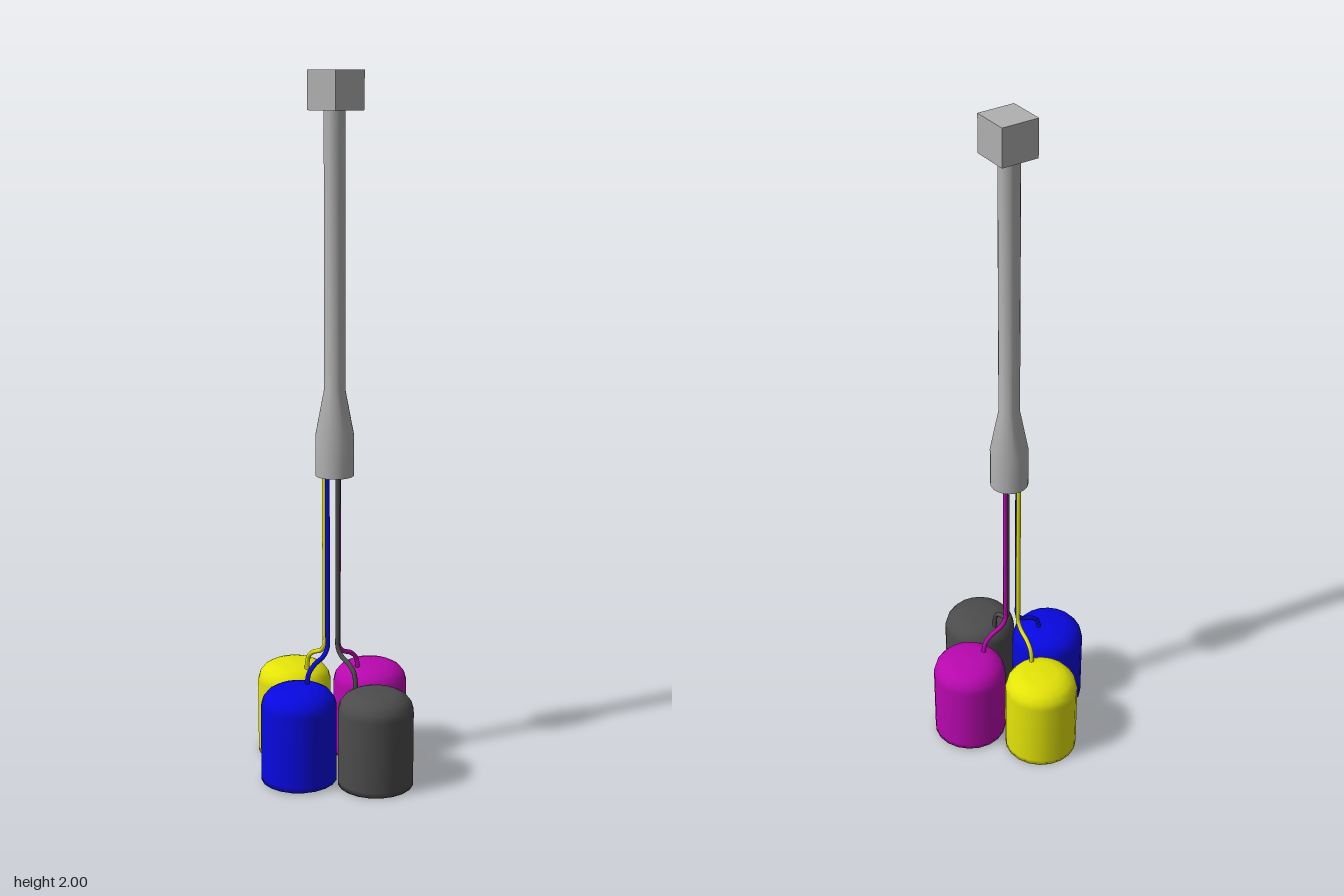
import * as THREE from 'three';
import { toCreasedNormals } from 'three/addons/utils/BufferGeometryUtils.js';

const material = (color) => new THREE.MeshStandardMaterial({ color, side: THREE.DoubleSide });

// Surface of revolution from [radius, y] pairs, listed from bottom to top
function lathe(points) {
  return new THREE.LatheGeometry(points.map(([r, y]) => new THREE.Vector2(r, y)), 20);
}

// Domed weight with a flat base, shaded smoothly around its lower rim
const WEIGHT_PROFILE = [
  [0, 0], [0.109, 0], [0.109, 0.015], [0.109, 0.222], [0.103, 0.243],
  [0.09, 0.26], [0.07, 0.271], [0.047, 0.277], [0, 0.279],
];

// Each weight hangs on its own cord: base centre, cord top and cord end as [x, z]
const WEIGHTS = [
  { name: 'left', color: 0xb808ae, at: [0.144, 0.001], base: 0.006, top: [0.011, 0.003], end: [0.092, 0.001] },
  { name: 'right', color: 0x0808e0, at: [-0.145, 0.001], base: 0.006, top: [-0.03, 0], end: [-0.112, 0.001] },
  { name: 'front', color: 0x4c4c4c, at: [-0.002, 0.169], base: 0, top: [-0.006, 0.018], end: [-0.01, 0.095] },
  { name: 'back', color: 0xe4e408, at: [-0.002, -0.172], base: 0, top: [-0.016, -0.026], end: [-0.01, -0.108] },
];

// Cord runs straight down, swings outwards and drops into the weight
function cord({ name, top, end }, mat) {
  const steps = [[0, 0.97], [0, 0.7], [0, 0.42], [0.01, 0.37], [0.22, 0.348],
    [0.62, 0.334], [0.9, 0.314], [1, 0.283], [1, 0.255]];
  const points = steps.map(([t, y]) => new THREE.Vector3(
    THREE.MathUtils.lerp(top[0], end[0], t), y, THREE.MathUtils.lerp(top[1], end[1], t)));
  const curve = new THREE.CatmullRomCurve3(points);
  const mesh = new THREE.Mesh(new THREE.TubeGeometry(curve, 80, 0.0068, 8), mat);
  mesh.name = `${name}Cord`;
  return mesh;
}

export function createModel() {
  const model = new THREE.Group();
  model.name = 'hangingWeights';
  const grey = material(0xb0b0b0);

  // Square block at the top of the pole
  const block = new THREE.Mesh(new THREE.BoxGeometry(0.11, 0.107, 0.11), grey);
  block.name = 'topBlock';
  block.position.set(0.001, 1.9465, 0.002);
  model.add(block);

  // Pole flaring into a hollow socket that gathers the cords
  const poleGeometry = toCreasedNormals(lathe([
    [0, 0.98], [0.046, 0.98], [0.046, 0.88], [0.055, 0.88],
    [0.055, 0.997], [0.03, 1.128], [0.03, 1.9],
  ]), 0.45);
  const pole = new THREE.Mesh(poleGeometry, grey);
  pole.name = 'poleAndSocket';
  pole.position.x = -0.001;
  model.add(pole);

  // Weights and their cords
  const weightGeometry = lathe(WEIGHT_PROFILE);
  for (const spec of WEIGHTS) {
    const mat = material(spec.color);
    const weight = new THREE.Mesh(weightGeometry, mat);
    weight.name = `${spec.name}Weight`;
    weight.position.set(spec.at[0], spec.base, spec.at[1]);
    model.add(weight, cord(spec, mat));
  }
  return model;
}
